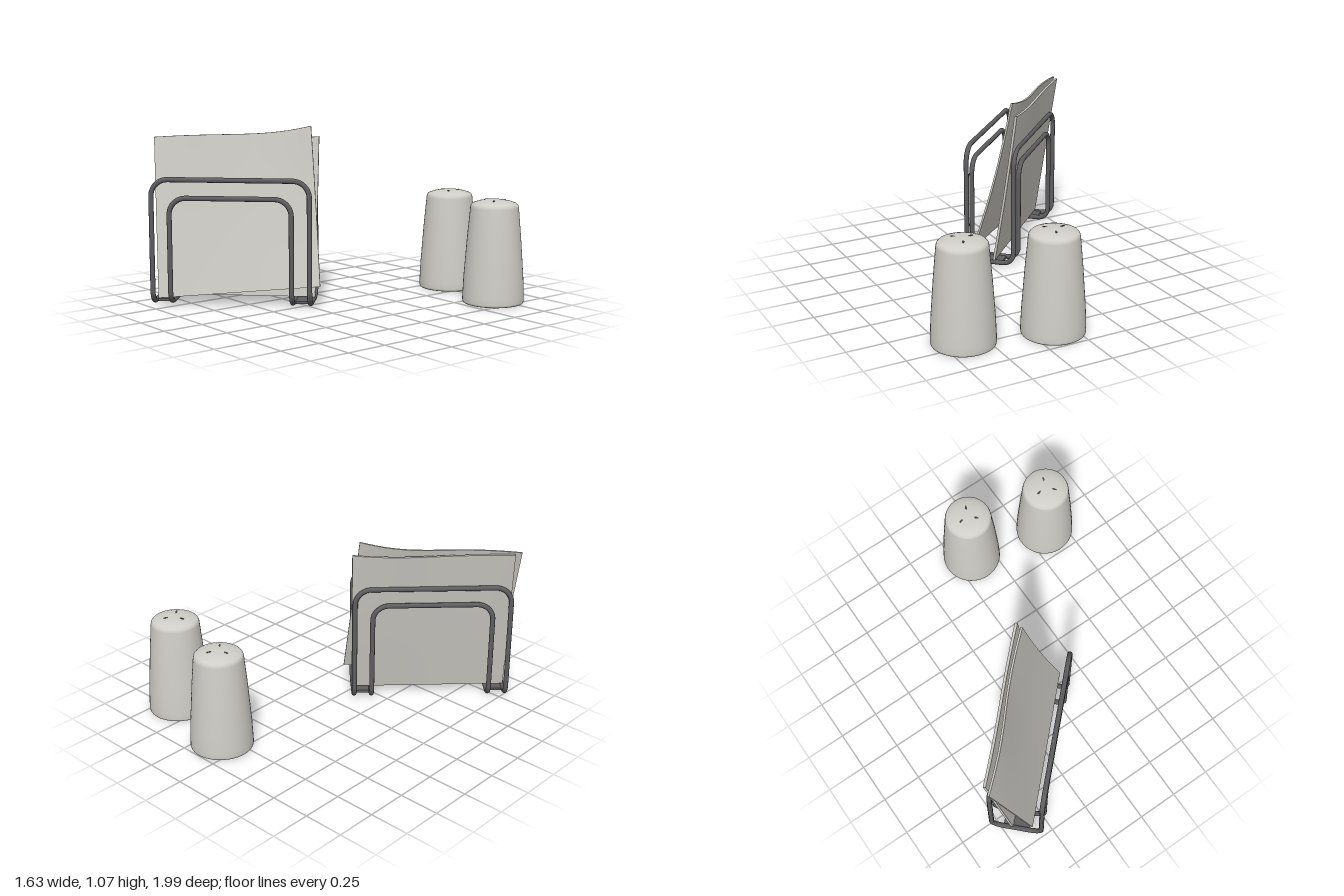
import * as THREE from 'three';

const V = (x, y, z) => new THREE.Vector3(x, y, z);
const lerp = THREE.MathUtils.lerp;

function makeMaterial(name, color) {
  const m = new THREE.MeshStandardMaterial({ color });
  m.name = name;
  return m;
}

function part(name, geometry, material) {
  const mesh = new THREE.Mesh(geometry, material);
  mesh.name = name;
  return mesh;
}

// Closed wire: front hoop and back hoop joined by runners under the napkins
function wireGeometry(w, h, d, base, radius) {
  const pts = [
    V(-w, base, -d), V(-w, h, -d), V(w, h, -d), V(w, base, -d),
    V(w, base, d), V(w, h, d), V(-w, h, d), V(-w, base, d),
  ];
  const corners = pts.map((p, i) => {
    const r = p.y === h ? 0.1 : 0.07;
    const prev = pts[(i + 7) % 8].clone().sub(p).normalize();
    const next = pts[(i + 1) % 8].clone().sub(p).normalize();
    const at = (dir, k) => p.clone().addScaledVector(dir, k * r);
    return [at(prev, 1), at(prev, 0.45), at(next, 0.45), at(next, 1)];
  });
  const path = new THREE.CurvePath();
  corners.forEach((c, i) => {
    path.add(new THREE.CubicBezierCurve3(...c));
    path.add(new THREE.LineCurve3(c[3], corners[(i + 1) % 8][0]));
  });
  return new THREE.TubeGeometry(path, 360, radius, 10, true);
}

// Thin sheet stretched between four corners, with a dipped top and a slight curl
function napkinGeometry([bl, br, tl, tr], thickness, dip, curl) {
  const g = new THREE.BoxGeometry(1, 1, 1, 20, 16, 1);
  const pos = g.attributes.position;
  for (let i = 0; i < pos.count; i++) {
    const s = pos.getX(i) + 0.5, t = pos.getY(i) + 0.5;
    const p = bl.clone().lerp(br, s).lerp(tl.clone().lerp(tr, s), t);
    p.y -= dip * Math.sin(Math.PI * s * s) * t * t;
    p.z += curl * (Math.sin(Math.PI * t) * -s + 0.6 * Math.sin(2 * Math.PI * s) * t * t);
    p.z += pos.getZ(i) * thickness;
    pos.setXYZ(i, p.x, p.y, p.z);
  }
  g.computeVertexNormals();
  return g;
}

function makeShaker(name, x, z, ceramic, dark) {
  const shaker = new THREE.Group();
  shaker.name = name;
  const profile = [
    [0, 0], [0.178, 0], [0.184, 0.004], [0.187, 0.015], [0.186, 0.05], [0.181, 0.16],
    [0.163, 0.4], [0.146, 0.585], [0.142, 0.6], [0.132, 0.61], [0.1, 0.621], [0.06, 0.629], [0, 0.631],
  ].map(([r, y]) => new THREE.Vector2(r, y));
  shaker.add(part('shakerBody', new THREE.LatheGeometry(profile, 48), ceramic));
  // Pouring holes, long along the radius
  for (let i = 0; i < 3; i++) {
    const a = Math.PI + 0.15 + i * Math.PI * 2 / 3;
    const hole = part('pouringHole', new THREE.CylinderGeometry(1, 1, 0.004, 12), dark);
    hole.scale.set(0.014, 1, 0.006);
    hole.position.set(Math.cos(a) * 0.056, 0.629, -Math.sin(a) * 0.056);
    hole.rotation.y = a;
    shaker.add(hole);
  }
  shaker.position.set(x, 0, z);
  return shaker;
}

export function createModel() {
  const metal = makeMaterial('dark metal', 0x5e5e60);
  const paper = makeMaterial('napkin paper', 0xcbc9c3);
  const ceramic = makeMaterial('pale ceramic', 0xd0cec8);
  const dark = makeMaterial('hole dark', 0x4a4a4a);

  const model = new THREE.Group();
  model.name = 'tableSet';

  // Holder and napkins share a frame turned towards the front left corner
  const holder = new THREE.Group();
  holder.name = 'napkinHolder';
  holder.position.set(-0.344, 0, 0.532);
  holder.rotation.y = Math.PI / 4;
  model.add(holder);

  holder.add(part('outerWire', wireGeometry(0.474, 0.77, 0.154, 0.026, 0.0155), metal));
  holder.add(part('innerWire', wireGeometry(0.366, 0.66, 0.154, 0.026, 0.0155), metal));

  // Plates joining the runners at each end
  for (const side of [-1, 1]) {
    const plate = part('basePlate', new THREE.BoxGeometry(0.108, 0.016, 0.16), metal);
    plate.position.set(side * 0.42, 0.026, 0);
    holder.add(plate);
  }

  const front = [V(-0.455, 0.04, 0.092), V(0.53, 0.13, 0.092), V(-0.52, 0.995, -0.142), V(0.45, 1.072, -0.132)];
  const back = [V(-0.475, 0.042, -0.028), V(0.485, 0.042, -0.028), V(-0.475, 0.995, -0.172), V(0.495, 1.005, -0.172)];
  holder.add(part('frontNapkin', napkinGeometry(front, 0.012, 0.024, 0.018), paper));
  holder.add(part('backNapkin', napkinGeometry(back, 0.016, 0.012, 0.006), paper));

  model.add(makeShaker('saltShaker', 0.12, -0.815, ceramic, dark));
  model.add(makeShaker('pepperShaker', 0.63, -0.7, ceramic, dark));
  return model;
}
